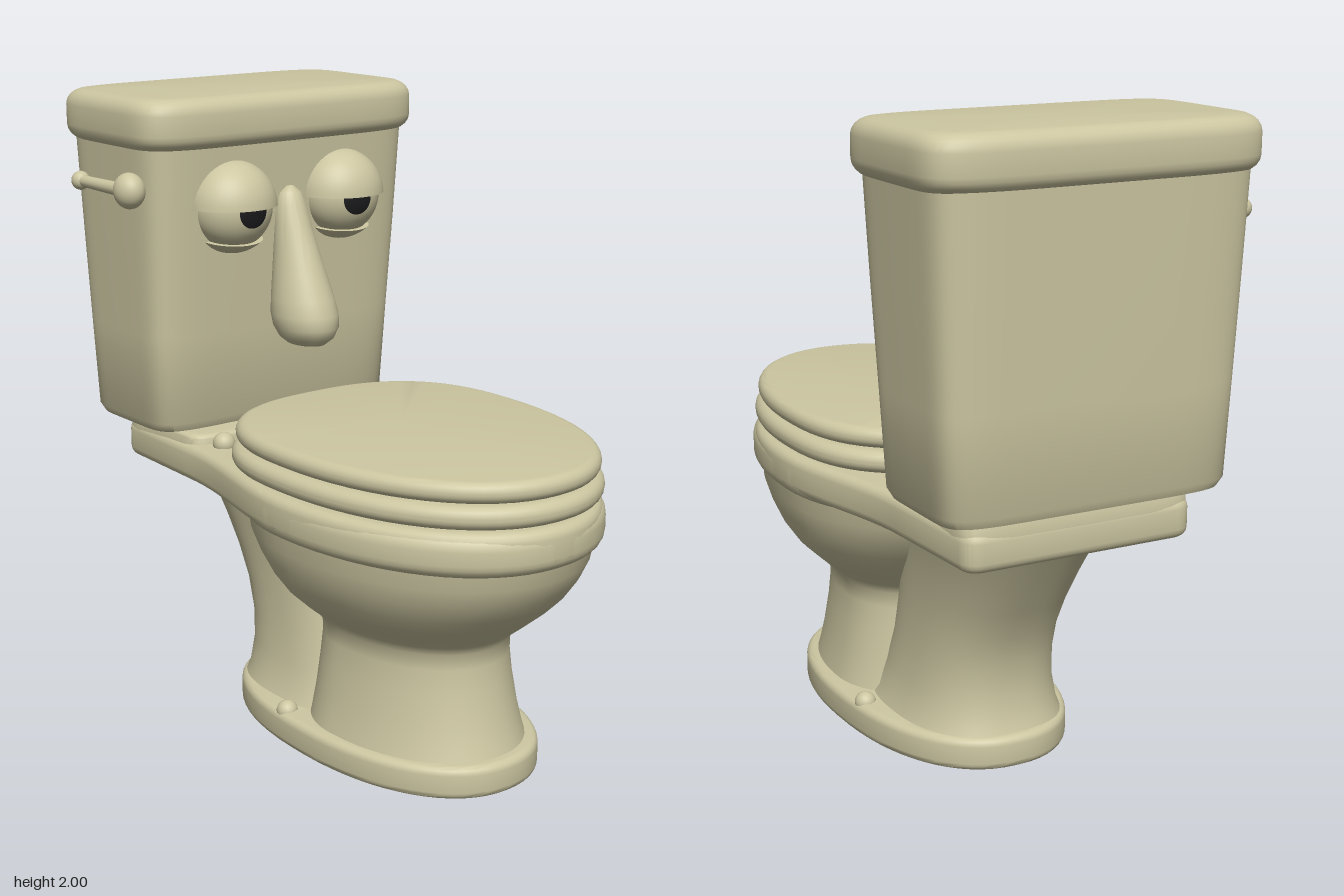
import * as THREE from 'three';
import { toCreasedNormals } from 'three/addons/utils/BufferGeometryUtils.js';

const porcelain = new THREE.MeshStandardMaterial({ color: 0xccc6a1 });
porcelain.name = 'porcelain';
const black = new THREE.MeshStandardMaterial({ color: 0x1a1a1c });
black.name = 'pupilBlack';

// Stacks rounded cross-sections from bottom to top.
// Row: y, half width, front z, back z, z of widest point, front roundness, back roundness
function loft(rows, cx = 0, seg = 64) {
  const pos = [], index = [];
  for (const [y, hw, zf, zb, zw = (zf + zb) / 2, nf = 2, nb = nf] of rows) {
    for (let i = 0; i < seg; i++) {
      const a = (i / seg) * Math.PI * 2, c = Math.cos(a), s = Math.sin(a);
      const n = s >= 0 ? nf : nb, reach = s >= 0 ? zf - zw : zw - zb;
      pos.push(
        cx + Math.sign(c) * Math.abs(c) ** (2 / n) * hw, y,
        zw + Math.sign(s) * Math.abs(s) ** (2 / n) * reach);
    }
  }
  for (let r = 0; r < rows.length - 1; r++) {
    for (let i = 0; i < seg; i++) {
      const p = r * seg + i, q = r * seg + (i + 1) % seg;
      index.push(p, p + seg, q, q, p + seg, q + seg);
    }
  }
  // end caps
  const top = (rows.length - 1) * seg, mid = pos.length / 3;
  for (const r of [rows[0], rows[rows.length - 1]]) pos.push(cx, r[0], r[4] ?? (r[2] + r[3]) / 2);
  for (let i = 0; i < seg; i++) {
    const j = (i + 1) % seg;
    index.push(mid, i, j, mid + 1, top + j, top + i);
  }
  const g = new THREE.BufferGeometry();
  g.setAttribute('position', new THREE.Float32BufferAttribute(pos, 3));
  g.setIndex(index);
  return toCreasedNormals(g, 0.75);
}

// Rows of a slab with rounded top and bottom edges
function slab(y0, y1, r, [hw, zf, zb, ...rest]) {
  const rows = [];
  for (let side = 0; side < 2; side++) {
    for (let k = 0; k <= 5; k++) {
      const a = ((side ? k : 5 - k) / 5) * Math.PI / 2;
      const d = r * (1 - Math.cos(a)), h = r * Math.sin(a);
      rows.push([side ? y1 - r + h : y0 + r - h, hw - d, zf - d, zb + d, ...rest]);
    }
  }
  return rows;
}

// Horizontal slice of a ball between two elevations
function ballSlice(r, from, to) {
  const rows = [];
  for (let k = 0; k <= 12; k++) {
    const e = from + (to - from) * k / 12, w = r * Math.cos(e);
    rows.push([r * Math.sin(e), w, w, -w]);
  }
  return loft(rows, 0, 40);
}

export function createModel() {
  const group = new THREE.Group();
  const add = (name, geometry, x = 0, y = 0, z = 0, parent = group, material = porcelain) => {
    const m = new THREE.Mesh(geometry, material);
    m.name = name;
    m.position.set(x, y, z);
    parent.add(m);
    return m;
  };
  const cx = 0.018;

  // foot
  add('base', loft(slab(0, 0.105, 0.025, [0.343, 0.712, -0.465, 0.13, 2.2, 2.3]), 0.022));

  // front pedestal flaring into the bowl
  add('bowl', loft([
    [0.08, 0.305, 0.68, -0.06], [0.13, 0.292, 0.662, -0.05], [0.2, 0.278, 0.642, -0.04],
    [0.3, 0.263, 0.622, -0.03], [0.38, 0.256, 0.612, -0.02], [0.43, 0.258, 0.613, -0.02],
    [0.46, 0.278, 0.635, -0.04], [0.5, 0.325, 0.685, -0.08], [0.55, 0.378, 0.745, -0.13],
    [0.6, 0.412, 0.797, -0.18], [0.66, 0.438, 0.842, -0.23], [0.72, 0.456, 0.873, -0.27],
    [0.82, 0.465, 0.89, -0.3],
  ].map((r) => [...r, 0.22, 2.1]), cx));

  // rear column leaning back under the shelf
  add('rearColumn', loft([
    [0.08, 0.275, 0.25, -0.445], [0.13, 0.25, 0.2, -0.425], [0.22, 0.23, 0.16, -0.413],
    [0.32, 0.22, 0.12, -0.422], [0.42, 0.217, 0.1, -0.455], [0.52, 0.22, 0.08, -0.51],
    [0.62, 0.23, 0.05, -0.572], [0.72, 0.245, 0, -0.635], [0.83, 0.27, -0.05, -0.71],
  ].map((r) => [...r, undefined, 2.5]), cx));

  // rim that narrows into the shelf carrying the tank
  const outline = new THREE.Shape();
  outline.moveTo(0, 0.918);
  outline.bezierCurveTo(0.27, 0.918, 0.485, 0.6, 0.485, 0.22);
  outline.bezierCurveTo(0.485, 0, 0.4, -0.16, 0.39, -0.4);
  outline.lineTo(0.375, -0.74);
  outline.quadraticCurveTo(0.37, -0.798, 0.31, -0.798);
  outline.lineTo(-0.31, -0.798);
  outline.quadraticCurveTo(-0.37, -0.798, -0.375, -0.74);
  outline.lineTo(-0.39, -0.4);
  outline.bezierCurveTo(-0.4, -0.16, -0.485, 0, -0.485, 0.22);
  outline.bezierCurveTo(-0.485, 0.6, -0.27, 0.918, 0, 0.918);
  const b = 0.03;
  const rim = new THREE.ExtrudeGeometry(outline, {
    depth: 0.12 - 2 * b, bevelThickness: b, bevelSize: b, bevelOffset: -b, bevelSegments: 4, curveSegments: 24,
  });
  rim.rotateX(Math.PI / 2);
  add('rim', toCreasedNormals(rim, 0.75), cx, 0.9 - b, 0);
  add('rimRoll', loft(slab(0.765, 0.895, 0.045, [0.485, 0.918, -0.27, 0.22, 2.1, 2.3]), cx));
  add('shelf', loft(slab(0.8, 0.93, 0.02, [0.375, -0.36, -0.797, -0.58, 9]), cx));

  // seat and closed cover
  const egg = [0.2, 2.1, 2.6];
  add('seat', loft(slab(0.908, 0.978, 0.033, [0.478, 0.917, -0.288, ...egg]), cx));
  add('cover', loft(slab(0.982, 1.046, 0.031, [0.466, 0.907, -0.275, ...egg]), cx));

  // tank and its lid
  add('tank', loft([
    [0.93, 0.425, -0.45, -0.835], [0.938, 0.448, -0.425, -0.86], [0.965, 0.463, -0.412, -0.872],
    [1.25, 0.477, -0.394, -0.882], [1.55, 0.491, -0.372, -0.892], [1.87, 0.505, -0.352, -0.902],
  ].map((r) => [...r, undefined, 7]), cx, 96));
  add('tankLid', loft(slab(1.838, 2, 0.05, [0.532, -0.325, -0.922, undefined, 6.5]), cx, 96));

  // drooping nose
  add('nose', loft([
    [1.197, 0.025, -0.235, -0.34], [1.204, 0.053, -0.205, -0.36], [1.225, 0.08, -0.178, -0.38],
    [1.26, 0.098, -0.163, -0.4], [1.3, 0.102, -0.167, -0.41], [1.35, 0.096, -0.186, -0.41],
    [1.42, 0.083, -0.217, -0.41], [1.5, 0.069, -0.252, -0.41], [1.58, 0.058, -0.287, -0.41],
    [1.64, 0.051, -0.31, -0.41], [1.68, 0.037, -0.328, -0.4], [1.7, 0.012, -0.35, -0.38],
  ], cx, 40));

  // sleepy eyes
  for (const [name, x, gaze] of [['rightEye', -0.198, 0], ['leftEye', 0.228, -0.13]]) {
    const eye = new THREE.Group();
    eye.name = name;
    eye.position.set(x, 1.652, -0.375);
    eye.scale.z = 0.92;
    group.add(eye);
    add('eyeball', new THREE.SphereGeometry(0.132, 40, 24), 0, 0, 0, eye);
    add('upperLid', ballSlice(0.148, 0.03, 1.55), 0, 0, 0, eye);
    add('lowerLid', ballSlice(0.145, -1.55, -0.75), 0, 0, 0, eye).rotation.x = 0.12;
    const pupil = new THREE.SphereGeometry(0.135, 32, 6, 0, Math.PI * 2, 0, 0.38);
    pupil.rotateX(Math.PI / 2).rotateY(gaze);
    add('pupil', pupil, 0, -0.003, 0, eye, black);
  }

  // flush lever on the tank's right side
  const rod = new THREE.CylinderGeometry(0.018, 0.022, 0.28, 20).rotateX(-Math.PI / 2);
  add('leverRod', rod, -0.516, 1.72, -0.61);
  add('leverKnob', new THREE.SphereGeometry(0.056, 28, 18), -0.508, 1.72, -0.475).scale.x = 0.85;
  add('leverTip', new THREE.SphereGeometry(0.03, 20, 14), -0.516, 1.72, -0.75);

  // bolt caps on the hinge and the foot
  for (const s of [-1, 1]) {
    add('hingeCap', new THREE.SphereGeometry(0.036, 20, 14), cx + s * 0.3, 0.91, -0.32);
    add('footBolt', new THREE.SphereGeometry(0.034, 20, 14), 0.022 + s * 0.3, 0.1, 0);
  }
  return group;
}
